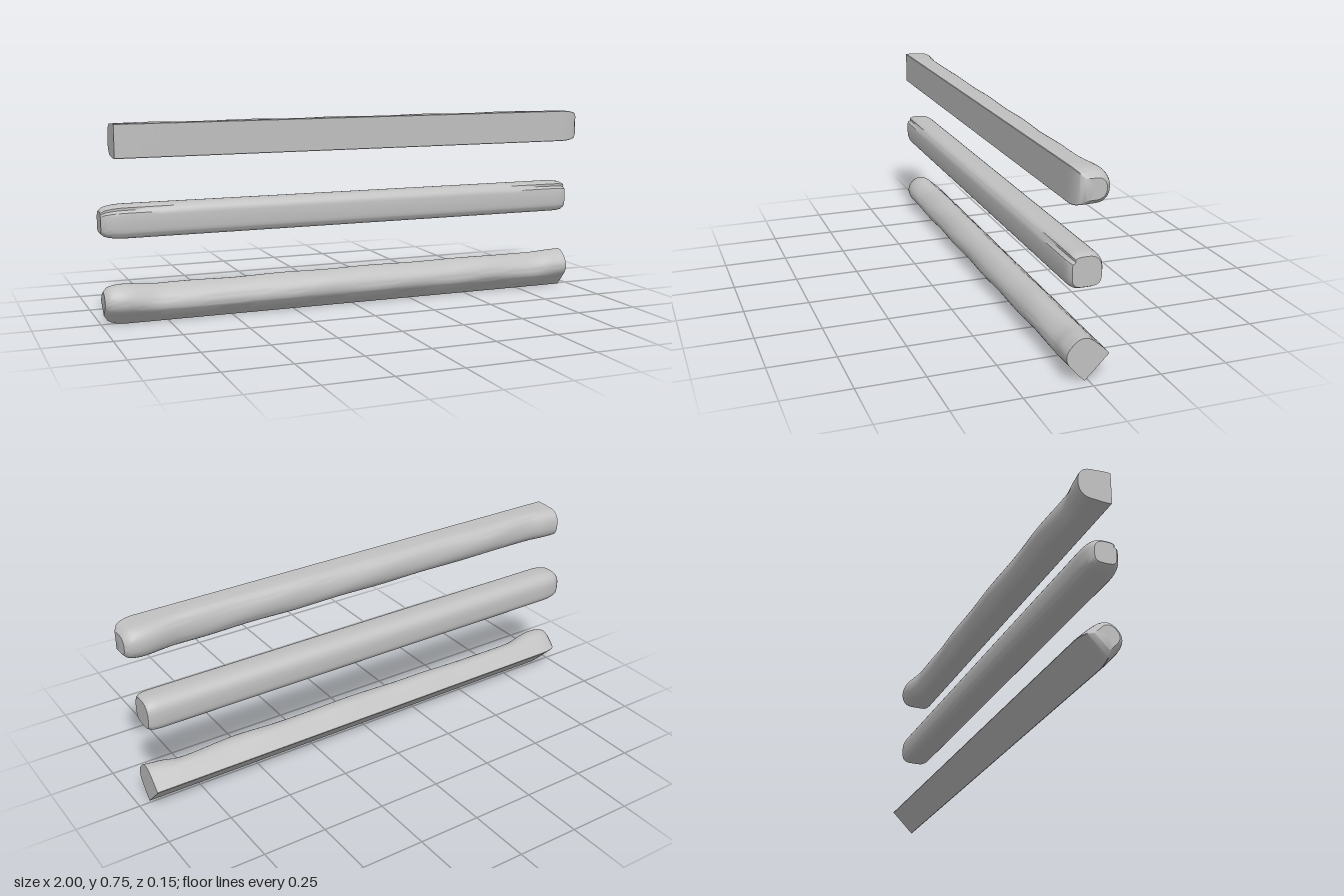
import * as THREE from 'three';
import { toCreasedNormals } from 'three/addons/utils/BufferGeometryUtils.js';

const HALF = 0.9725; // half the length of a log
const H = 0.063;     // half its thickness

// Smoothly interpolates a list of [x, value] keys
function along(keys, x) {
  if (x <= keys[0][0]) return keys[0][1];
  for (let i = 1; i < keys.length; i++) {
    const [x0, v0] = keys[i - 1], [x1, v1] = keys[i];
    if (x <= x1) return THREE.MathUtils.lerp(v0, v1, THREE.MathUtils.smoothstep(x, x0, x1));
  }
  return keys[keys.length - 1][1];
}

const spow = (v, p) => Math.sign(v) * Math.pow(Math.abs(v), p);

// Shrinks a section near an end; u runs from 0 (full size) to 1 (tip)
function roundOff(u, amount) {
  const t = THREE.MathUtils.clamp(u, 0, 1);
  return 1 - amount * (1 - Math.sqrt(1 - t * t));
}

// Lofts [y, z] sections along x and caps both ends
function loft(xs, section) {
  const rings = xs.map(section), n = rings[0].length, pos = [], idx = [];
  rings.forEach((ring, i) => ring.forEach(([y, z]) => pos.push(xs[i], y, z)));
  for (let i = 0; i < xs.length - 1; i++) {
    for (let j = 0; j < n; j++) {
      const k = (j + 1) % n;
      const a = i * n + j, b = i * n + k, c = a + n, d = b + n;
      idx.push(a, b, c, b, d, c);
    }
  }
  const last = (xs.length - 1) * n, c0 = pos.length / 3;
  pos.push(xs[0], 0, 0, xs[xs.length - 1], 0, 0);
  for (let j = 0; j < n; j++) {
    const k = (j + 1) % n;
    idx.push(c0, k, j, c0 + 1, last + j, last + k);
  }
  const g = new THREE.BufferGeometry();
  g.setAttribute('position', new THREE.Float32BufferAttribute(pos, 3));
  g.setIndex(idx);
  return toCreasedNormals(g, 0.6);
}

// Stations along the log, closer together at both ends
const stations = [];
for (let i = 0; i <= 70; i++) {
  const t = i / 70 * 2 - 1;
  stations.push(HALF * (0.45 * t + 0.55 * Math.sin(t * Math.PI / 2)));
}

// Split log: flat front with crisp edges, uneven round back, one sawn end
const backDepth = [[-0.97, 0.063], [-0.92, 0.059], [-0.82, 0.046], [-0.6, 0.054], [-0.4, 0.048],
  [-0.1, 0.05], [0.25, 0.046], [0.5, 0.04], [0.75, 0.04], [0.9, 0.06], [0.97, 0.063]];
const squareness = [[-0.97, 2.7], [-0.85, 2.1], [0.75, 2], [0.93, 2.4]];

function splitSection(x) {
  const s = roundOff((x - HALF + 0.08) / 0.08, 0.42);
  const d = along(backDepth, x), p = 2 / along(squareness, x);
  const edge = H - 0.0015 * (1 + Math.sin(x * 17));
  const pts = [[H, 0.03], [H, H - 0.002], [H - 0.002, H],
    [-H + 0.002, H], [-H, H - 0.002], [-H, 0.03]];
  for (let j = 0; j <= 18; j++) {
    const a = Math.PI * (1 + j / 18);
    const bump = 1 + 0.018 * Math.sin(x * 13 + a * 3);
    pts.push([edge * spow(Math.cos(a), p), d * bump * spow(Math.sin(a), p)]);
  }
  return pts.map(([y, z]) => [y * s, z * s]);
}

// Rounded log: soft square section, grooved along its upper front near the ends
function roundSection(x) {
  const s = Math.min(roundOff((-x - HALF + 0.09) / 0.09, 0.35),
    roundOff((x - HALF + 0.05) / 0.05, 0.16));
  const groove = 0.03 + 0.12 * THREE.MathUtils.smoothstep(Math.abs(x), 0.6, 0.97);
  const pts = [];
  for (let j = 0; j < 36; j++) {
    const a = j / 36 * Math.PI * 2;
    const upperBack = Math.cos(a) > 0 && Math.sin(a) < 0;
    const p = 2 / (upperBack ? 2.5 : 3.8);
    const cut = 1 - groove * Math.exp(-Math.pow((a - 0.95) / 0.16, 2));
    pts.push([H * s * cut * spow(Math.cos(a), p), H * s * cut * spow(Math.sin(a), p)]);
  }
  return pts;
}

export function createModel() {
  const group = new THREE.Group();
  group.name = 'logs';
  const wood = new THREE.MeshStandardMaterial({ color: 0xc0c0c0 });
  wood.name = 'paleGrey';

  const splitLog = loft(stations, splitSection);
  const roundLog = loft(stations, roundSection);

  const add = (name, geometry, x, y, z) => {
    const mesh = new THREE.Mesh(geometry, wood);
    mesh.name = name;
    mesh.position.set(x, y, z);
    group.add(mesh);
    return mesh;
  };

  add('upperLog', splitLog, 0.0275, 0.688, 0.01);
  add('middleLog', roundLog, -0.025, 0.39, 0.01);
  // The lower log is turned end for end and tipped onto an edge
  add('lowerLog', splitLog, -0.018, 0.089, 0.012).rotation.set(-Math.PI / 4, Math.PI, 0);

  return group;
}
